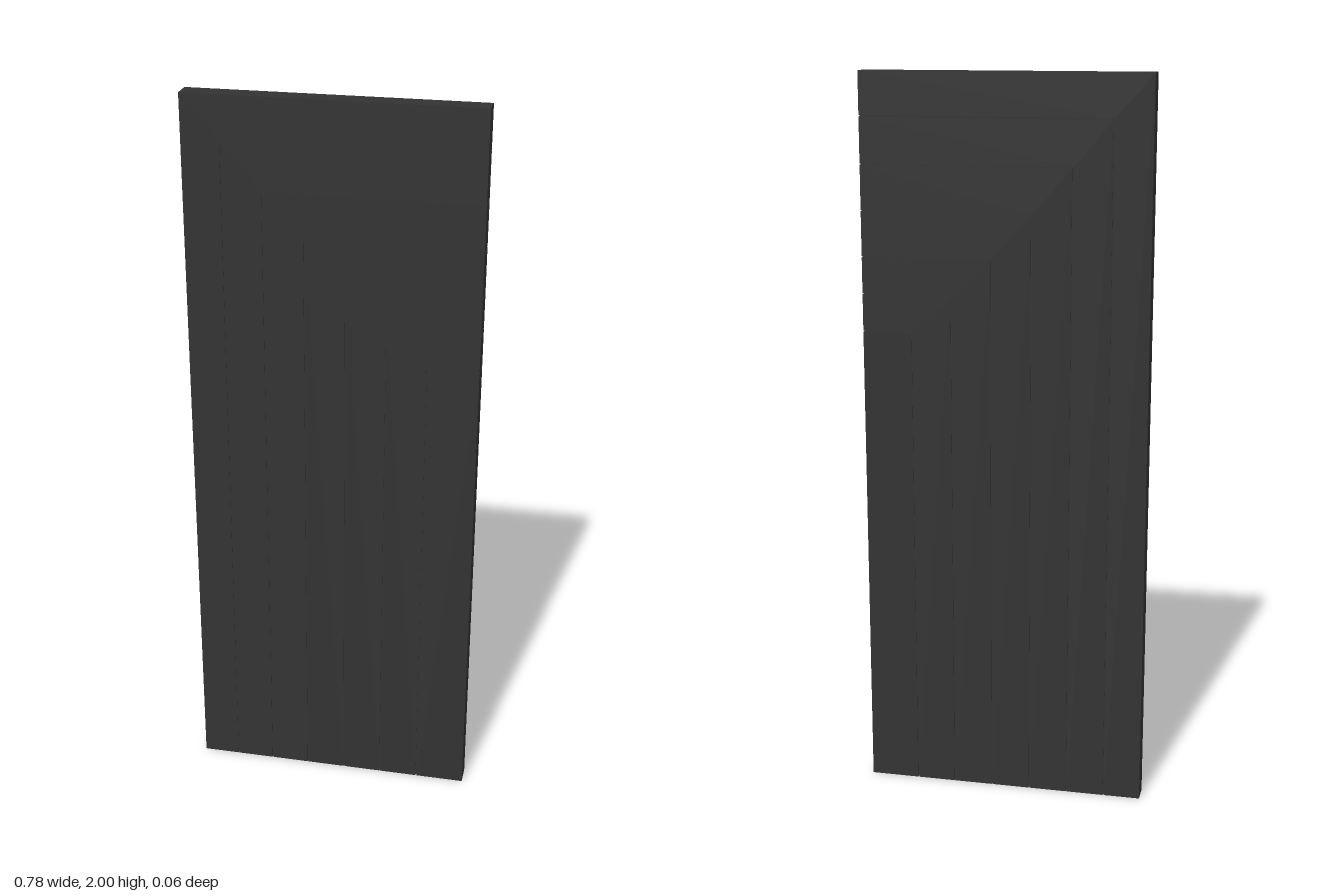
import * as THREE from 'three';

const RIGHT = 0.39, DEPTH = 0.056, GAP = 0.003, RECESS = 0.002;

// Left edge and top edge of each nested panel, outermost first
const STEPS = [
  [-0.39, 2], [-0.286, 1.882], [-0.18, 1.757], [-0.072, 1.634],
  [0.037, 1.511], [0.146, 1.411], [0.255, 1.309],
];

export function createModel() {
  const group = new THREE.Group();
  group.name = 'steppedPanel';
  const material = new THREE.MeshStandardMaterial({ color: 0x333333 });

  const add = (name, geometry) => {
    const mesh = new THREE.Mesh(geometry, material);
    mesh.name = name;
    group.add(mesh);
    return mesh;
  };

  // Nested L-shaped boards, separated by hairline grooves
  STEPS.forEach(([left, top], i) => {
    const next = STEPS[i + 1];
    const points = [[left, 0]];
    if (next) {
      const [x, y] = [next[0] - GAP, next[1] + GAP];
      points.push([x, 0], [x, y], [RIGHT, y]);
    } else {
      points.push([RIGHT, 0]);
    }
    points.push([RIGHT, top], [left, top]);
    const shape = new THREE.Shape(points.map(([x, y]) => new THREE.Vector2(x, y)));
    const board = new THREE.ExtrudeGeometry(shape, { depth: DEPTH, bevelEnabled: false });
    board.translate(0, 0, -DEPTH / 2);
    add(next ? `cornerBoard${i + 1}` : 'innerBoard', board);
  });

  // Core that closes the bottom of the grooves
  const core = new THREE.BoxGeometry(2 * (RIGHT - RECESS), 2 - 2 * RECESS, DEPTH - 2 * RECESS);
  add('core', core).position.y = 1;

  return group;
}
